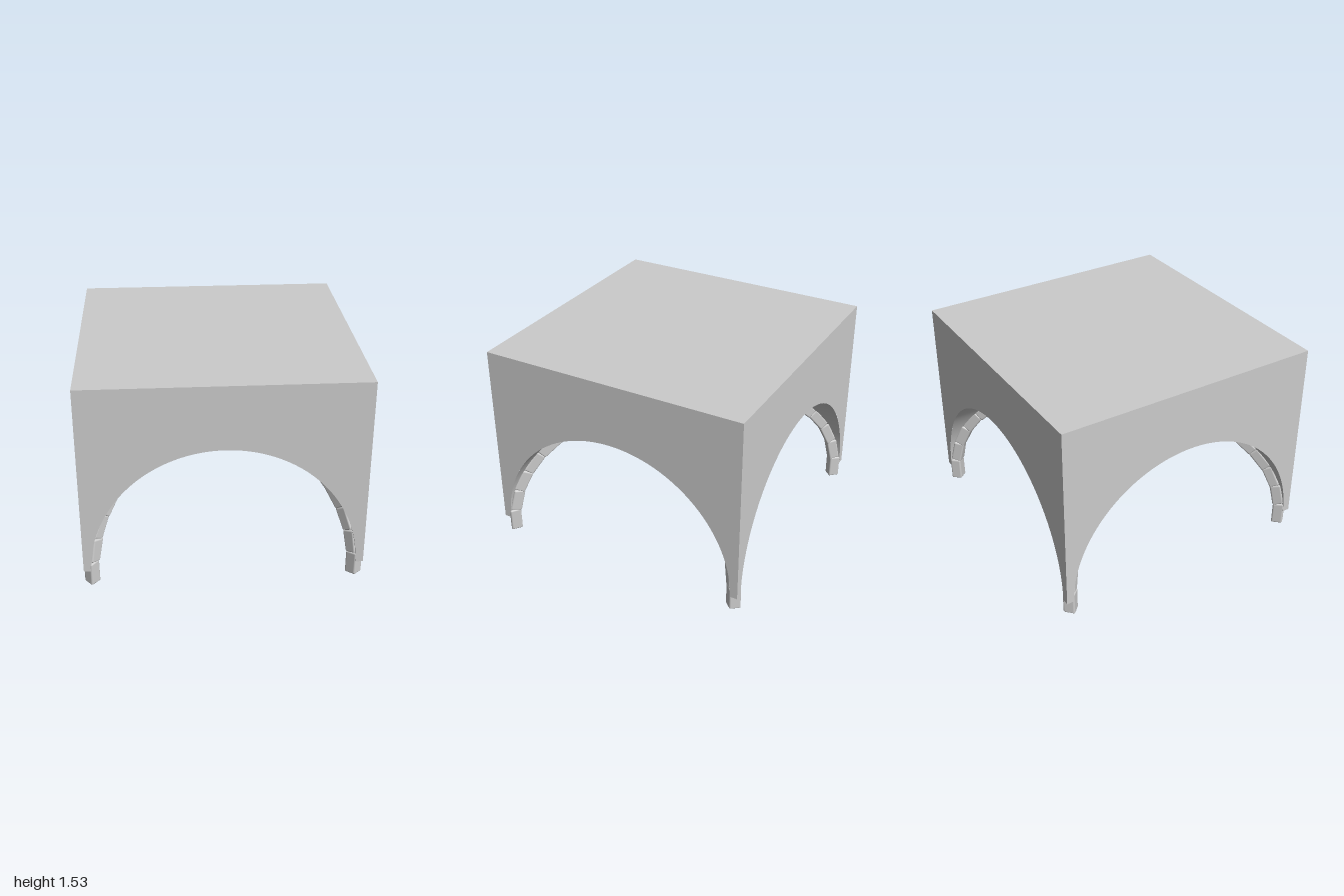
import * as THREE from 'three';
import { RoundedBoxGeometry } from 'three/addons/geometries/RoundedBoxGeometry.js';
import { ParametricGeometry } from 'three/addons/geometries/ParametricGeometry.js';
import { toCreasedNormals } from 'three/addons/utils/BufferGeometryUtils.js';

const H = 0.995;      // half width of the block
const R = 0.94;       // arch radius
const SPRING = 0.12;  // height where the arches spring
const TOP = 1.53;

export function createModel() {
  const model = new THREE.Group();
  const grey = new THREE.MeshStandardMaterial({ color: 0xcccccc });

  function add(parent, name, geometry, x = 0, y = 0, z = 0) {
    const mesh = new THREE.Mesh(geometry, grey);
    mesh.name = name;
    mesh.position.set(x, y, z);
    parent.add(mesh);
    return mesh;
  }

  // Seeded random numbers for the worn stones
  let seed = 7;
  const random = () => (seed = (seed * 16807) % 2147483647) / 2147483647;

  // Rounded block with slightly uneven corners
  function stone(length, depth, width) {
    const g = new RoundedBoxGeometry(length, depth, width, 3, 0.013);
    const p = g.attributes.position;
    const a = random() * 6, b = random() * 6, c = random() * 6;
    for (let i = 0; i < p.count; i++) {
      const x = p.getX(i), y = p.getY(i), z = p.getZ(i);
      p.setXYZ(i,
        x + 0.002 * Math.sin(40 * y + 50 * z + a),
        y + 0.003 * Math.sin(30 * x + 45 * z + b),
        z + 0.003 * Math.sin(30 * x + 45 * y + c));
    }
    return g;
  }

  // Wall with a round arch cut out of its lower edge
  const wall = new THREE.Shape();
  wall.moveTo(-H, SPRING);
  wall.lineTo(-R, SPRING);
  wall.absarc(0, SPRING, R, Math.PI, 0, true);
  wall.lineTo(H, SPRING);
  wall.lineTo(H, TOP);
  wall.lineTo(-H, TOP);
  const wallGeometry = new THREE.ShapeGeometry(wall, 64);

  // Quarter of the groin vault, from the diagonals out to the wall
  const vaultGeometry = new ParametricGeometry((u, v, target) => {
    const t = Math.PI * u;
    const x = -R * Math.cos(t);
    target.set(x, SPRING + R * Math.sin(t), THREE.MathUtils.lerp(Math.abs(x), H, v));
  }, 64, 6);

  // Joints of the rib stones along the diagonal ellipse
  const S = R * Math.SQRT2;
  const joints = new THREE.EllipseCurve(0, SPRING, S, R, 0.064, 1.458).getSpacedPoints(9);

  for (let k = 0; k < 4; k++) {
    const side = new THREE.Group();
    side.name = 'vaultSide';
    side.rotation.y = k * Math.PI / 2;
    model.add(side);
    add(side, 'archedWall', wallGeometry, 0, 0, H);
    add(side, 'vaultSurface', vaultGeometry);
    const underside = add(side, 'pierUnderside', new THREE.PlaneGeometry(H - R, H - R),
      (H + R) / 2, SPRING, (H + R) / 2);
    underside.rotation.x = Math.PI / 2;

    const rib = new THREE.Group();
    rib.name = 'diagonalRib';
    rib.rotation.y = Math.PI / 4 + k * Math.PI / 2;
    model.add(rib);
    add(rib, 'ribFoot', stone(0.085, 0.18, 0.085), S, 0.091, 0);
    for (let i = 0; i < joints.length - 1; i++) {
      const d = joints[i + 1].clone().sub(joints[i]);
      const length = d.length();
      const mid = joints[i].clone().add(joints[i + 1]).multiplyScalar(0.5);
      d.normalize();
      const inset = 0.004 + 0.012 * i / 8;
      const mesh = add(rib, 'ribStone',
        stone(length + 0.002, 0.08 + 0.006 * random(), 0.08 + 0.006 * random()),
        mid.x - d.y * inset, mid.y + d.x * inset, 0);
      mesh.rotation.z = Math.atan2(d.y, d.x);
    }
  }

  // Flat roof
  const roof = add(model, 'roof', new THREE.PlaneGeometry(2 * H, 2 * H), 0, TOP, 0);
  roof.rotation.x = -Math.PI / 2;

  // Hanging boss at the crown: moulded disc, bead ring and pointed drop
  const boss = new THREE.Group();
  boss.name = 'hangingBoss';
  model.add(boss);
  const profile = [
    [0, 0.88], [0.06, 0.88], [0.07, 0.89], [0.098, 0.89], [0.104, 0.897], [0.098, 0.904],
    [0.092, 0.915], [0.098, 0.93], [0.108, 0.935], [0.108, 0.942], [0.09, 0.948],
    [0.092, 0.96], [0.11, 0.972], [0.125, 0.978], [0.125, 0.986], [0.15, 0.99],
    [0.16, 1.0], [0.16, 1.055], [0, 1.055],
  ].map(([r, y]) => new THREE.Vector2(r, y));
  add(boss, 'bossMoulding', toCreasedNormals(new THREE.LatheGeometry(profile, 48), 0.6));

  const bead = new THREE.SphereGeometry(0.015, 12, 8);
  for (let i = 0; i < 24; i++) {
    const a = i / 24 * Math.PI * 2;
    add(boss, 'bead', bead, 0.097 * Math.sin(a), 0.918, 0.097 * Math.cos(a));
  }

  const drop = [[0, 0.79], [0.06, 0.85], [0.052, 0.872], [0.052, 0.885]]
    .map(([r, y]) => new THREE.Vector2(r, y));
  add(boss, 'pointedDrop', toCreasedNormals(new THREE.LatheGeometry(drop, 4), 0.3));

  return model;
}
